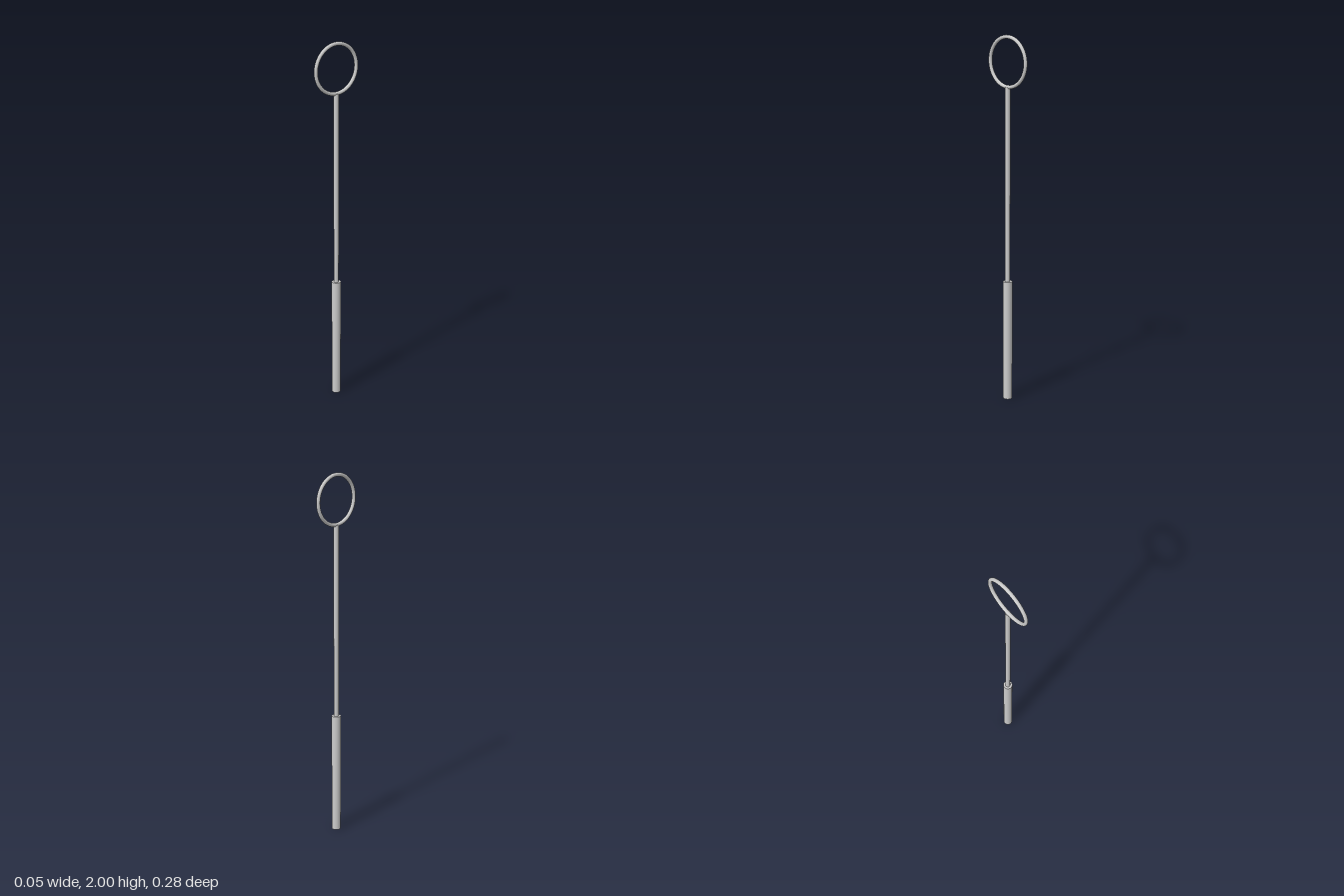
import * as THREE from 'three';

export function createModel() {
  const group = new THREE.Group();
  const material = new THREE.MeshStandardMaterial({ color: 0xcccccc });

  const add = (name, geometry, y) => {
    const mesh = new THREE.Mesh(geometry, material);
    mesh.name = name;
    mesh.position.y = y;
    group.add(mesh);
    return mesh;
  };

  // Upright cylinder between two heights
  const addRod = (name, radius, bottom, top) =>
    add(name, new THREE.CylinderGeometry(radius, radius, top - bottom, 32), (bottom + top) / 2);

  addRod('handle', 0.025, 0, 0.675);
  addRod('shaft', 0.0135, 0.675, 1.73);

  // Ring standing in the y-z plane, its tube centred on the shaft's end
  const ring = add('ring', new THREE.TorusGeometry(0.13, 0.01, 16, 64), 1.86);
  ring.rotation.y = Math.PI / 2;

  return group;
}
